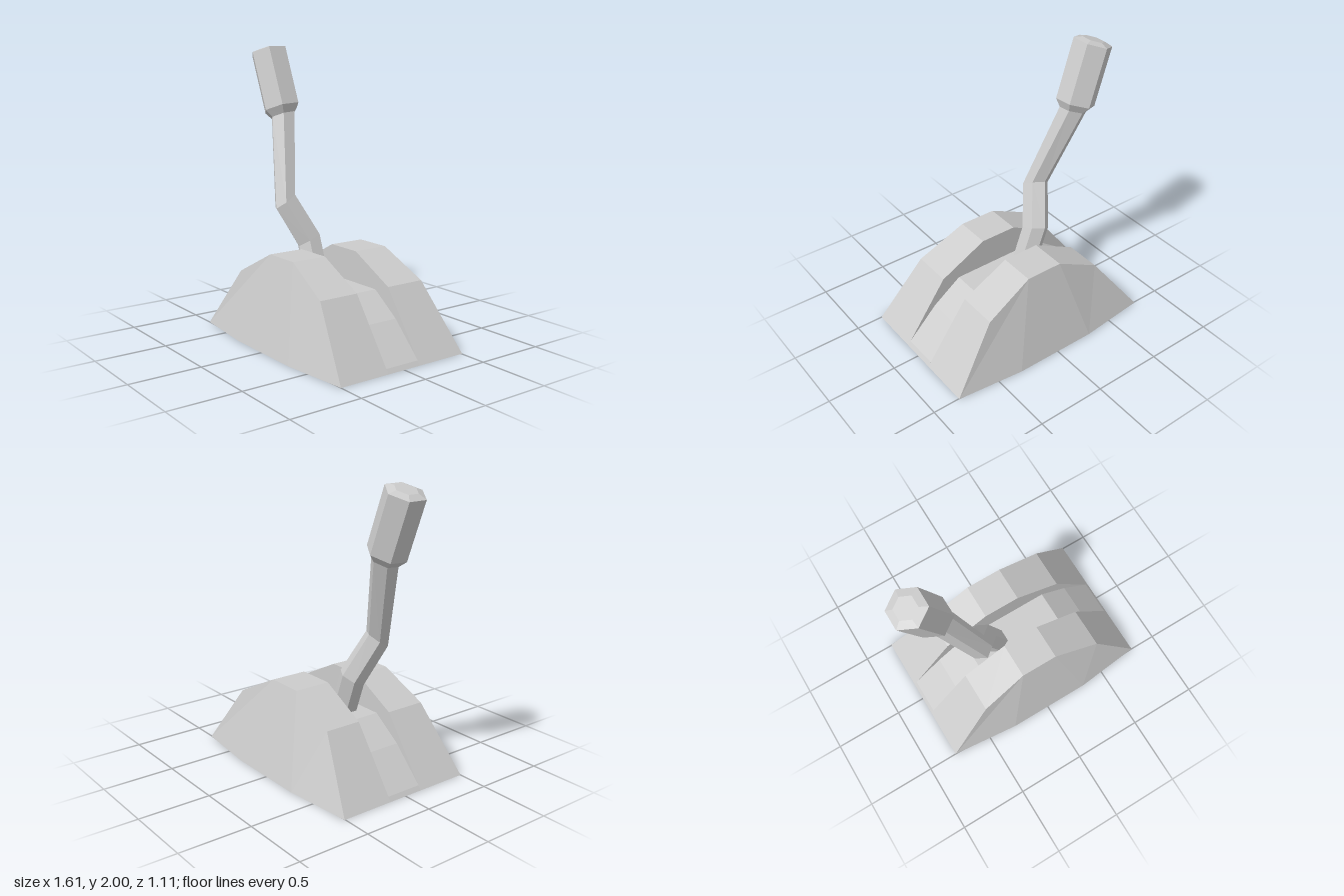
import * as THREE from 'three';

const material = new THREE.MeshStandardMaterial({ color: 0xcccccc, flatShading: true });

// Flat-shaded mesh from quads, each given as four corners in counter-clockwise order
function quadMesh(name, quads) {
  const pos = [];
  for (const [a, b, c, d] of quads) pos.push(...a, ...b, ...c, ...a, ...c, ...d);
  const geo = new THREE.BufferGeometry();
  geo.setAttribute('position', new THREE.Float32BufferAttribute(pos, 3));
  geo.computeVertexNormals();
  const mesh = new THREE.Mesh(geo, material);
  mesh.name = name;
  return mesh;
}

// Housing outline, counter-clockwise: four points along the floor, four back over the top
const outline = [
  [-0.785, 0], [-0.29, 0], [0.32, 0], [0.805, 0],
  [0.485, 0.445], [0.14, 0.62], [-0.13, 0.62], [-0.46, 0.445],
];
const slotHalf = 0.13;

// One half of the housing, from the slot wall out to its sloping, bowed face
function housingHalf(name, side, depths) {
  const outer = outline.map(([x, y], i) => [x, y, side * depths[i]]);
  const inner = outline.map(([x, y]) => [x, y, side * slotHalf]);
  const quads = [];
  for (let i = 0; i < 8; i++) {
    const j = (i + 1) % 8;
    quads.push([inner[i], inner[j], outer[j], outer[i]]);
  }
  for (let i = 0; i < 3; i++) {
    quads.push([outer[i], outer[i + 1], outer[6 - i], outer[7 - i]]);
    quads.push([inner[7 - i], inner[6 - i], inner[i + 1], inner[i]]);
  }
  return quadMesh(name, side > 0 ? quads : quads.map((q) => q.reverse()));
}

// Lever axis: leans toward -x; "across" is its perpendicular in the front plane
const lean = 0.35;
const along = new THREE.Vector3(-Math.sin(lean), Math.cos(lean), 0);
const across = new THREE.Vector3(Math.cos(lean), Math.sin(lean), 0);

// Hexagonal ring around the axis; tilt slants it for a mitred bend
function hexRing([y, z, r, tilt]) {
  const centre = new THREE.Vector3(-0.2 - 0.362 * (y - 0.58), y, z);
  return Array.from({ length: 6 }, (_, i) => {
    const a = Math.PI / 6 + (i * Math.PI) / 3;
    const dz = r * Math.sin(a);
    const p = centre.clone().addScaledVector(across, r * Math.cos(a));
    p.addScaledVector(along, tilt * dz);
    p.z += dz;
    return p.toArray();
  });
}

function hexLoft(name, sections) {
  const rings = sections.map(hexRing);
  const quads = [];
  for (let k = 0; k < rings.length - 1; k++) {
    for (let i = 0; i < 6; i++) {
      const j = (i + 1) % 6;
      quads.push([rings[k][i], rings[k + 1][i], rings[k + 1][j], rings[k][j]]);
    }
  }
  return quadMesh(name, quads);
}

export function createModel() {
  const model = new THREE.Group();
  model.name = 'leverControl';

  // Housing halves on either side of the slot
  model.add(housingHalf('frontHousing', 1, [0.5, 0.55, 0.55, 0.5, 0.42, 0.387, 0.387, 0.42]));
  model.add(housingHalf('backHousing', -1, [0.505, 0.555, 0.555, 0.505, 0.42, 0.39, 0.39, 0.39]));

  // Recessed floor of the slot
  const floor = new THREE.Shape([
    [-0.785, 0], [0.805, 0], [0.785, 0.03], [0.565, 0.25],
    [0.355, 0.4], [-0.335, 0.4], [-0.545, 0.25], [-0.765, 0.03],
  ].map(([x, y]) => new THREE.Vector2(x, y)));
  const floorGeo = new THREE.ExtrudeGeometry(floor, { depth: 2 * slotHalf, bevelEnabled: false });
  floorGeo.translate(0, 0, -slotHalf);
  const slotFloor = new THREE.Mesh(floorGeo, material);
  slotFloor.name = 'slotFloor';
  model.add(slotFloor);

  // Cranked lever: rings of [height, z, radius, tilt]
  const neck = [1.51, 0.004, 0.094, -0.08];
  model.add(hexLoft('lever', [
    [0.35, 0.002, 0.091, 0],
    [0.655, 0.002, 0.091, -0.4],
    [0.93, 0.132, 0.085, -0.55],
    neck,
  ]));

  // Thicker grip with a shallow chamfered end
  model.add(hexLoft('grip', [
    neck,
    [1.56, 0.003, 0.137, -0.06],
    [1.956, 0.016, 0.137, 0],
    [1.974, 0.016, 0.08, 0],
    [1.974, 0.016, 0, 0],
  ]));
  return model;
}
